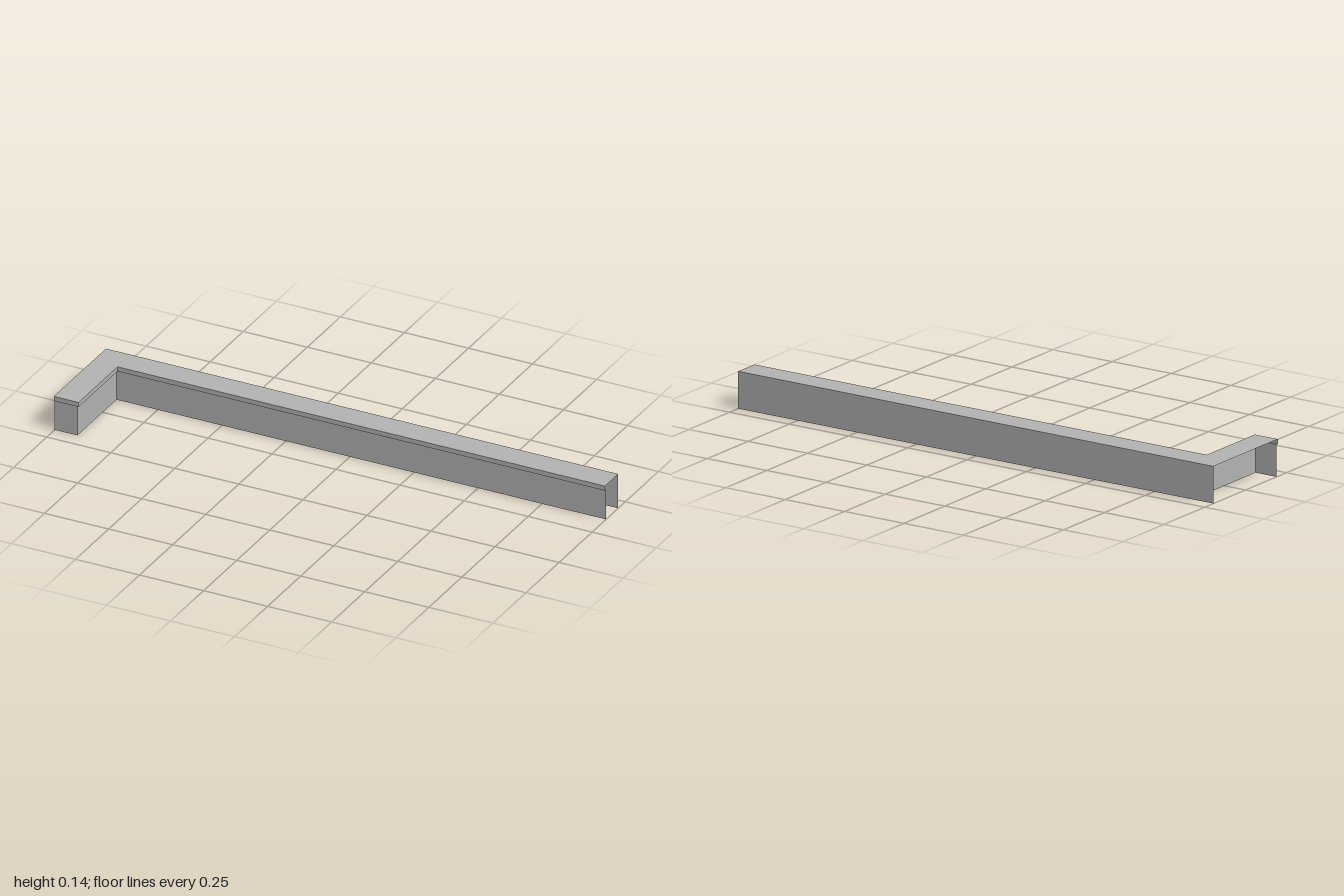
import * as THREE from 'three';

// Outlines as [x, z], from the short arm's end to the open end of the long arm
const LIP = [[-1, 0.197], [-0.903, 0.197], [-0.903, -0.097], [1, -0.097]];
const BASE = [[-1, 0.19], [-0.911, 0.19], [-0.911, -0.105], [1, -0.105]];
const BACK = [[1, -0.197], [-1, -0.197]];
const HEIGHT = 0.135;
const LIP_Y = 0.117;

// Flat-faced strip joining a lower outline to an upper one
function strip(lower, y0, upper, y1) {
  const points = [];
  for (let i = 0; i < lower.length - 1; i++) {
    const a = [lower[i][0], y0, lower[i][1]];
    const b = [lower[i + 1][0], y0, lower[i + 1][1]];
    const c = [upper[i + 1][0], y1, upper[i + 1][1]];
    const d = [upper[i][0], y1, upper[i][1]];
    points.push(...a, ...b, ...c, ...a, ...c, ...d);
  }
  const geometry = new THREE.BufferGeometry();
  geometry.setAttribute('position', new THREE.Float32BufferAttribute(points, 3));
  geometry.computeVertexNormals();
  return geometry;
}

export function createModel() {
  const group = new THREE.Group();
  group.name = 'cornerCounter';
  const grey = new THREE.MeshStandardMaterial({ color: 0xb2b2b2, side: THREE.DoubleSide });
  grey.name = 'grey';

  const add = (name, geometry) => {
    const mesh = new THREE.Mesh(geometry, grey);
    mesh.name = name;
    group.add(mesh);
  };

  // L-shaped top sheet
  const outline = [...LIP, ...BACK].map(([x, z]) => new THREE.Vector2(x, -z));
  const top = new THREE.ShapeGeometry(new THREE.Shape(outline));
  top.rotateX(-Math.PI / 2).translate(0, HEIGHT, 0);
  add('top', top);

  // Overhanging edge and its underside
  add('topEdge', strip(LIP, LIP_Y, LIP, HEIGHT));
  add('overhangUnderside', strip(BASE, LIP_Y, LIP, LIP_Y));

  // Recessed front panels and full-height back; outer side, far end and bottom stay open
  add('frontPanels', strip(BASE, 0, BASE, LIP_Y));
  add('backPanel', strip(BACK, 0, BACK, HEIGHT));

  return group;
}
